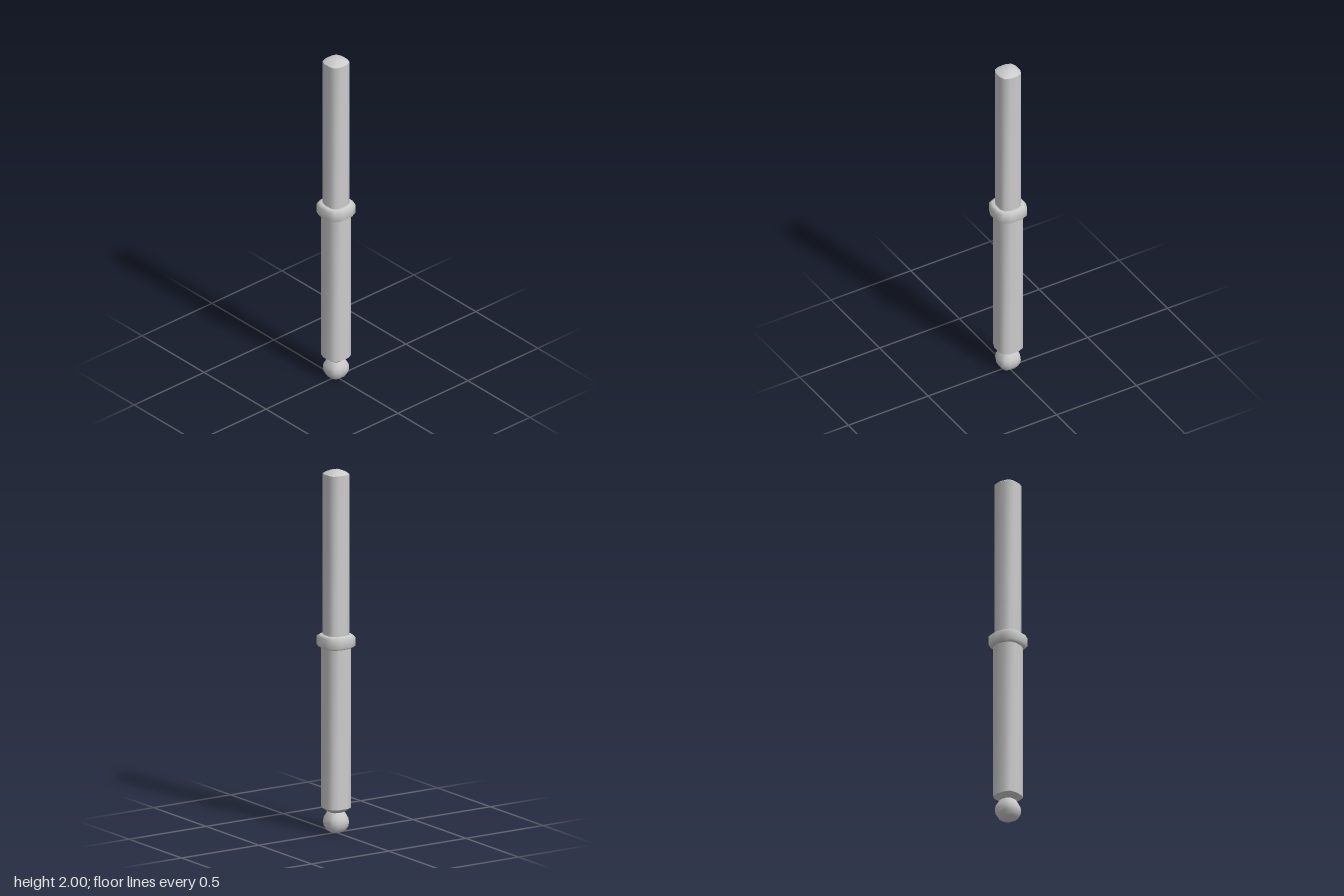
import * as THREE from 'three';

// Twelve-sided rounded-square section of half width 1
const A = 0.35, C = 0.81;
const SECTION = [];
for (let q = 0; q < 4; q++) {
  const c = Math.round(Math.cos(q * Math.PI / 2)), s = Math.round(Math.sin(q * Math.PI / 2));
  for (const [x, z] of [[1, -A], [1, A], [C, C]]) SECTION.push([x * c - z * s, x * s + z * c]);
}

// Sweeps the section along [halfWidth, y] points, bottom to top.
// A repeated point makes a hard edge.
function loft(name, profile, material) {
  const n = SECTION.length, pos = [], index = [];
  for (const [r, y] of profile) for (const [x, z] of SECTION) pos.push(x * r, y, z * r);
  for (let i = 0; i < profile.length - 1; i++) {
    for (let j = 0; j < n; j++) {
      const a = i * n + j, b = i * n + (j + 1) % n;
      index.push(a, a + n, b, b, a + n, b + n);
    }
  }
  const geometry = new THREE.BufferGeometry();
  geometry.setAttribute('position', new THREE.Float32BufferAttribute(pos, 3));
  geometry.setIndex(index);
  geometry.computeVertexNormals();
  const mesh = new THREE.Mesh(geometry, material);
  mesh.name = name;
  return mesh;
}

export function createModel() {
  const group = new THREE.Group();
  group.name = 'rod';
  const grey = new THREE.MeshStandardMaterial({ color: 0xcccccc });

  group.add(
    // Rounded ball at the foot
    loft('ballTip', [
      [0, 0], [0.025, 0.002], [0.046, 0.014], [0.059, 0.037], [0.062, 0.06],
      [0.059, 0.083], [0.046, 0.108], [0.036, 0.125], [0, 0.125],
    ], grey),
    // Thick lower shaft with a tapered foot
    loft('lowerShaft', [
      [0, 0.117], [0.042, 0.117], [0.042, 0.117], [0.071, 0.14], [0.071, 0.14],
      [0.071, 1.04], [0.071, 1.04], [0, 1.04],
    ], grey),
    // Rounded collar between the shafts
    loft('collar', [
      [0.05, 1.022], [0.076, 1.022], [0.092, 1.034], [0.092, 1.082], [0.076, 1.094], [0.05, 1.094],
    ], grey),
    // Thin upper shaft with a domed end
    loft('upperShaft', [
      [0.063, 1.06], [0.063, 1.979], [0.063, 1.979],
      [0.048, 1.99], [0.028, 1.998], [0, 2],
    ], grey),
  );
  return group;
}
